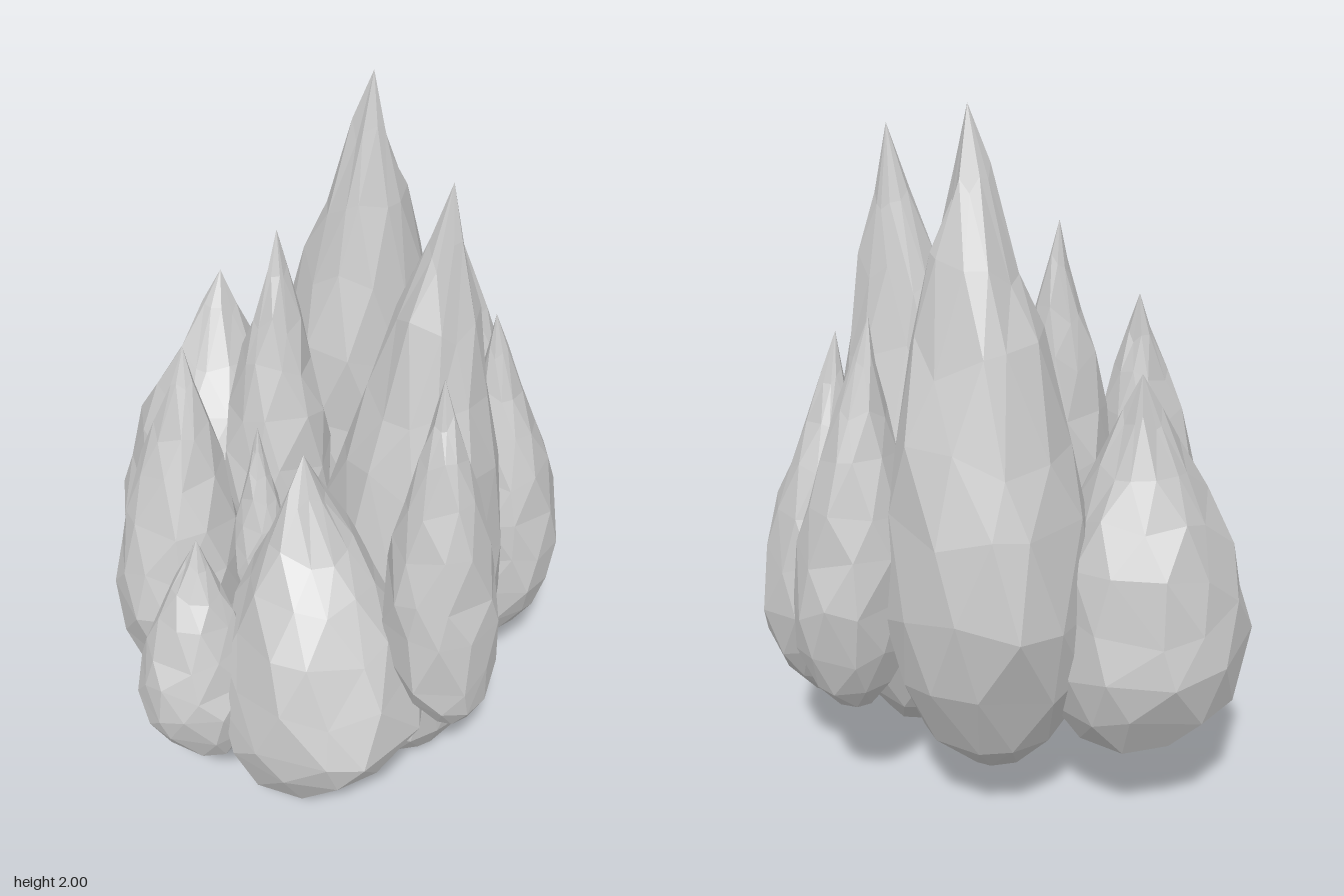
import * as THREE from 'three';

// small seeded random generator
function seeded(seed) {
  let s = seed * 7919 + 17;
  return () => {
    s = (s * 16807) % 2147483647;
    return s / 2147483647;
  };
}

// teardrop outline: [height fraction, radius fraction]
const PROFILE = [
  [0, 0], [0.03, 0.38], [0.1, 0.74], [0.2, 0.96], [0.32, 1.03], [0.44, 0.97],
  [0.56, 0.84], [0.68, 0.63], [0.79, 0.41], [0.9, 0.18], [1, 0],
];

// One faceted teardrop: foot and tip are [x, y, z], belly is [x, z], radius is [x, z]
function teardrop({ foot, belly, radius, tip }, seed) {
  const rand = seeded(seed);
  const sides = radius[0] > 0.2 ? 11 : radius[0] > 0.12 ? 9 : 8;
  const rows = PROFILE.length;
  const geo = new THREE.LatheGeometry(PROFILE.map(([h, r]) => new THREE.Vector2(r, h)), sides);
  const pos = geo.attributes.position;
  const height = tip[1] - foot[1];

  // irregular offsets, shared by the first and last column so that the seam closes
  const wobble = Array.from({ length: sides * rows }, () => [rand() - 0.5, rand() - 0.5, rand() - 0.5]);

  for (let i = 0; i <= sides; i++) {
    for (let j = 0; j < rows; j++) {
      const [h, r] = PROFILE[j];
      const pole = j === 0 || j === rows - 1;
      const [a, b, c] = wobble[(i % sides) * rows + j];
      // each row turns half a step further, which gives even triangles
      const angle = ((i % sides) + j * 0.5 + a * 0.5) / sides * Math.PI * 2;
      const rr = pole ? 0 : r * (1.01 + b * 0.08);
      const t = pole ? h : h + c * 0.05 * Math.min(1, h * 5);
      // the axis runs foot -> belly -> tip
      const low = Math.max(0, 1 - t / 0.3);
      const high = Math.max(0, (t - 0.32) / 0.68);
      const axis = (k, m) => belly[m] + (foot[k] - belly[m]) * low + (tip[k] - belly[m]) * high;
      pos.setXYZ(
        i * rows + j,
        axis(0, 0) + Math.sin(angle) * rr * radius[0],
        foot[1] + t * height,
        axis(2, 1) + Math.cos(angle) * rr * radius[1],
      );
    }
  }
  const flat = geo.toNonIndexed();
  flat.computeVertexNormals();
  return flat;
}

const DROPS = {
  // large drops
  tallBackFlame: { foot: [0.02, 0.12, -0.28], belly: [0.027, -0.41], radius: [0.27, 0.275], tip: [0.08, 2, -0.32] },
  rightBackFlame: { foot: [-0.36, 0.19, -0.27], belly: [-0.385, -0.295], radius: [0.28, 0.325], tip: [-0.36, 1.33, -0.38] },
  leftMiddleFlame: { foot: [0.26, 0, 0.15], belly: [0.23, 0.03], radius: [0.26, 0.285], tip: [0.31, 1.88, 0.04] },
  wideFrontFlame: { foot: [-0.05, 0.08, 0.35], belly: [0.03, 0.395], radius: [0.275, 0.29], tip: [-0.04, 1.19, 0.28] },
  // medium drops
  centreFlame: { foot: [-0.15, 0.45, 0], belly: [-0.155, -0.015], radius: [0.155, 0.155], tip: [-0.15, 1.65, -0.08] },
  leftBackFlame: { foot: [0.4, 0.34, -0.36], belly: [0.4, -0.39], radius: [0.155, 0.16], tip: [0.33, 1.48, -0.38] },
  leftSideFlame: { foot: [0.5, 0.26, -0.13], belly: [0.525, -0.18], radius: [0.15, 0.18], tip: [0.44, 1.37, -0.17] },
  leftFrontFlame: { foot: [0.38, 0.43, 0.45], belly: [0.34, 0.405], radius: [0.15, 0.155], tip: [0.32, 1.53, 0.38] },
  rightSideFlame: { foot: [-0.4, 0.25, 0.17], belly: [-0.415, 0.18], radius: [0.18, 0.185], tip: [-0.38, 1.39, 0.11] },
  rightFrontFlame: { foot: [-0.31, 0.19, 0.4], belly: [-0.335, 0.415], radius: [0.165, 0.155], tip: [-0.32, 0.95, 0.37] },
  // small drops
  smallSideFlame: { foot: [-0.48, 0.42, -0.04], belly: [-0.485, -0.04], radius: [0.1, 0.075], tip: [-0.43, 1.04, -0.03] },
  smallFrontFlame: { foot: [-0.17, 0.5, 0.18], belly: [-0.175, 0.18], radius: [0.08, 0.08], tip: [-0.18, 1.17, 0.15] },
};

export function createModel() {
  const model = new THREE.Group();
  model.name = 'flameCluster';
  const material = new THREE.MeshStandardMaterial({ color: 0xcccccc, flatShading: true });
  Object.entries(DROPS).forEach(([name, spec], index) => {
    const mesh = new THREE.Mesh(teardrop(spec, index + 1), material);
    mesh.name = name;
    model.add(mesh);
  });
  return model;
}
